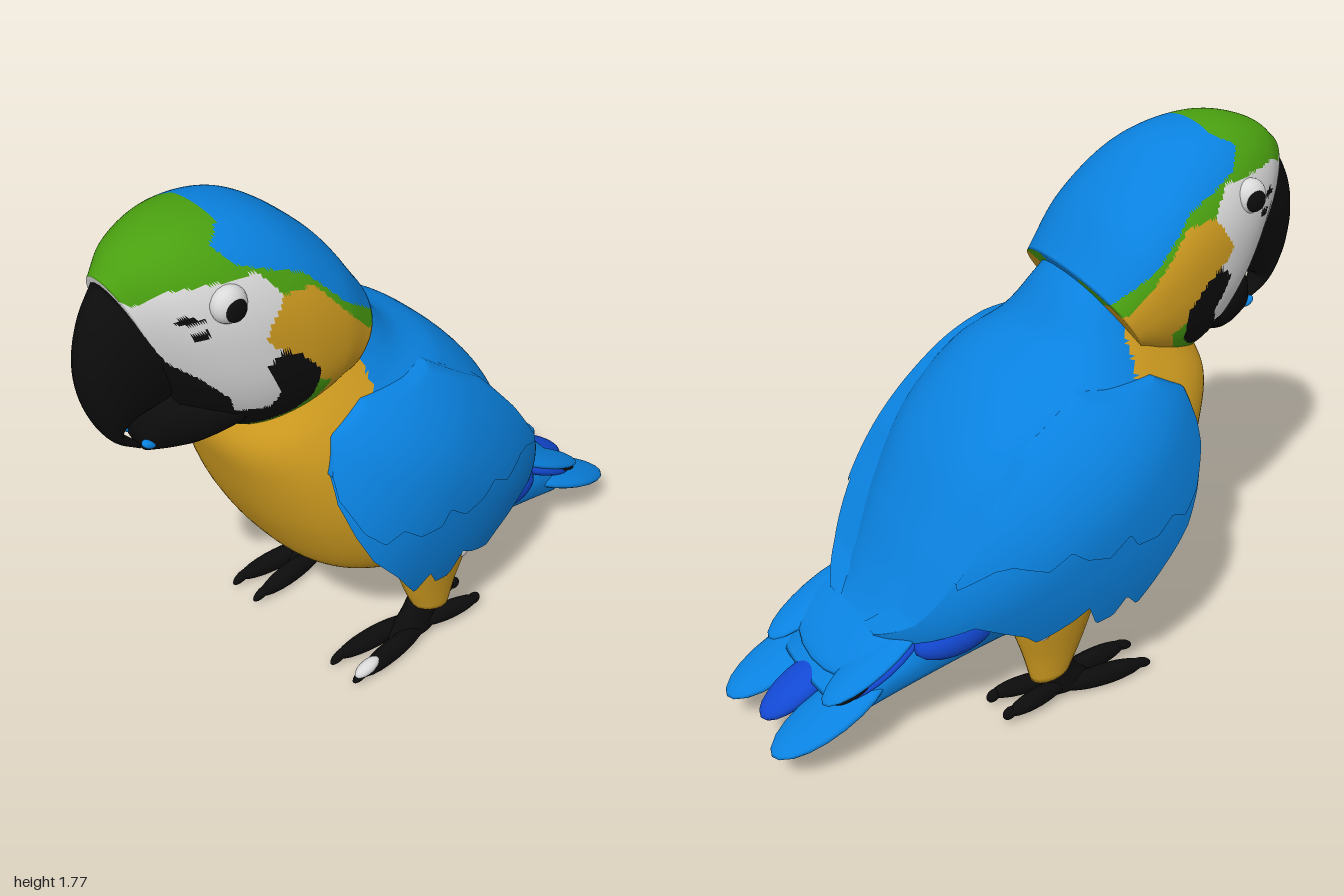
import * as THREE from 'three';

const material = (name, color, side = THREE.FrontSide) => {
  const m = new THREE.MeshStandardMaterial({ color, side });
  m.name = name;
  return m;
};

// True when (x, y) lies inside the polygon
function inside(poly, x, y) {
  let hit = false;
  for (let i = 0, j = poly.length - 1; i < poly.length; j = i++) {
    const [ax, ay] = poly[i], [bx, by] = poly[j];
    if ((ay > y) !== (by > y) && x < (bx - ax) * (y - ay) / (by - ay) + ax) hit = !hit;
  }
  return hit;
}

// Height of a polyline at x
function heightAt(line, x) {
  for (let i = 1; i < line.length; i++) {
    const [ax, ay] = line[i - 1], [bx, by] = line[i];
    if (x <= bx) return ay + (by - ay) * Math.max(0, (x - ax) / (bx - ax));
  }
  return line[line.length - 1][1];
}

// Closed loft of rounded rings. Section: [edge x, y, opposite edge x, y, half width].
// power below 1 makes the rings boxier. zones: [material index, side-view polygon], first match wins.
function loft(name, sections, mats, { zones = [], rows = 16, sides = 20, z = 0, power = 1 } = {}) {
  const a = new THREE.CatmullRomCurve3(sections.map(s => new THREE.Vector3(s[0], s[1], s[4])));
  const b = new THREE.CatmullRomCurve3(sections.map(s => new THREE.Vector3(s[2], s[3], s[4])));
  const bulge = v => Math.sign(v) * Math.abs(v) ** power;
  const pos = [];
  for (let i = -1; i <= rows + 1; i++) {
    const t = Math.min(Math.max(i / rows, 0), 1), end = i < 0 || i > rows ? 0 : 1;
    const p = a.getPoint(t), q = b.getPoint(t);
    for (let j = 0; j < sides; j++) {
      const angle = j / sides * Math.PI * 2;
      const c = bulge(Math.cos(angle)) * end, s = bulge(Math.sin(angle)) * end;
      pos.push((p.x + q.x + (p.x - q.x) * c) / 2, (p.y + q.y + (p.y - q.y) * c) / 2, z + p.z * s);
    }
  }
  const faces = [];
  let volume = 0;
  const v = k => new THREE.Vector3().fromArray(pos, k * 3);
  for (let i = 0; i < rows + 2; i++) for (let j = 0; j < sides; j++) {
    const k = i * sides + j, l = i * sides + (j + 1) % sides;
    for (const f of [[k, l, l + sides], [k, l + sides, k + sides]]) {
      const [p, q, r] = f.map(v);
      volume += p.dot(q.clone().cross(r));
      faces.push({ f, x: (p.x + q.x + r.x) / 3, y: (p.y + q.y + r.y) / 3 });
    }
  }
  const lists = mats.map(() => []);
  for (const { f, x, y } of faces) {
    const zone = zones.find(e => inside(e[1], x, y));
    lists[zone ? zone[0] : 0].push(...(volume < 0 ? [f[0], f[2], f[1]] : f));
  }
  const g = new THREE.BufferGeometry();
  g.setAttribute('position', new THREE.Float32BufferAttribute(pos, 3));
  g.setIndex(lists.flat());
  let start = 0;
  lists.forEach((l, i) => { g.addGroup(start, l.length, i); start += l.length; });
  g.computeVertexNormals();
  const mesh = new THREE.Mesh(g, mats.length > 1 ? mats : mats[0]);
  mesh.name = name;
  return mesh;
}

// Stretched sphere for eyes, feathers and toes
function blob(name, mat, p, s, tilt = 0, turn = 0) {
  const m = new THREE.Mesh(new THREE.SphereGeometry(1, 20, 12), mat);
  m.name = name;
  m.position.set(...p);
  m.scale.set(...s);
  m.rotation.set(0, turn, tilt);
  return m;
}

// Curved wing shell between two outlines; its last row folds in over the back
function wing(name, mat, top, bottom, side, lift) {
  const cols = 90, rows = 18, pos = [], index = [];
  const x0 = top[0][0], x1 = top[top.length - 1][0];
  for (let i = 0; i <= cols; i++) for (let j = 0; j <= rows; j++) {
    const x = x0 + (x1 - x0) * i / cols, fold = j === rows ? 0.5 : 1;
    const lo = heightAt(bottom, x), y = lo + (heightAt(top, x) - lo) * Math.min(1, j / (rows - 1));
    const dx = x + 0.05, dy = y - 0.78;
    const a = dx * 0.82 - dy * 0.57, b = dx * 0.57 + dy * 0.82;
    const r = 1 - (a / (a < 0 ? 0.55 : 0.82)) ** 2 - (b / (b < 0 ? 0.84 : 0.43)) ** 2;
    pos.push(x, y, side * fold * (lift + 0.48 * Math.sqrt(Math.max(r, 0.04))));
    if (i < cols && j < rows) {
      const k = i * (rows + 1) + j, n = k + rows + 1;
      index.push(...(side > 0 ? [k, n, n + 1, k, n + 1, k + 1] : [k, n + 1, n, k, k + 1, n + 1]));
    }
  }
  const g = new THREE.BufferGeometry();
  g.setAttribute('position', new THREE.Float32BufferAttribute(pos, 3));
  g.setIndex(index);
  g.computeVertexNormals();
  const m = new THREE.Mesh(g, mat);
  m.name = name;
  return m;
}

export function createModel() {
  const root = new THREE.Group();
  root.name = 'parrot';
  const blue = material('feather blue', 0x0a82e0, THREE.DoubleSide);
  const royal = material('deep blue', 0x1248d2);
  const green = material('crown green', 0x4aa010);
  const yellow = material('breast yellow', 0xd09c20);
  const white = material('face white', 0xdadada);
  const black = material('beak black', 0x0c0c0c);

  // Body with yellow breast, running into the tail root
  root.add(loft('body', [
    [-0.18, 1.44, -0.48, 1.25, 0.18], [-0.1, 1.35, -0.56, 1.1, 0.225], [0.0, 1.22, -0.59, 1.0, 0.3],
    [0.16, 1.13, -0.56, 0.87, 0.37], [0.33, 0.95, -0.48, 0.66, 0.42], [0.46, 0.72, -0.36, 0.47, 0.41],
    [0.55, 0.54, -0.2, 0.37, 0.35], [0.62, 0.43, 0.15, 0.275, 0.27], [0.72, 0.34, 0.45, 0.22, 0.24],
    [0.81, 0.25, 0.68, 0.165, 0.21]], [blue, yellow], {
    rows: 100, sides: 90, power: 0.8,
    zones: [[1, [[-0.8, 1.5], [-0.22, 1.5], [-0.21, 1.1], [-0.1, 0.8], [0.12, 0.5], [0.2, 0.28], [0.2, 0.1], [-0.8, 0.1]]]]
  }));

  // Head, painted by side-view zones
  root.add(loft('head', [
    [-0.905, 1.66, -0.72, 1.17, 0.125], [-0.82, 1.73, -0.62, 1.1, 0.205], [-0.66, 1.775, -0.53, 1.05, 0.265],
    [-0.45, 1.74, -0.43, 1.04, 0.295], [-0.26, 1.6, -0.35, 1.08, 0.295], [-0.12, 1.41, -0.31, 1.13, 0.27]],
  [black, blue, green, yellow, white], {
    rows: 120, sides: 130, power: 0.87,
    zones: [
      [0, [[-0.8, 1.56], [-0.77, 1.58], [-0.72, 1.56], [-0.76, 1.55]]],
      [0, [[-0.76, 1.52], [-0.72, 1.53], [-0.71, 1.51], [-0.75, 1.5]]],
      [1, [[-0.6, 1.9], [-0.59, 1.76], [-0.65, 1.73], [-0.61, 1.68], [-0.42, 1.6], [-0.3, 1.47], [-0.16, 1.36], [0, 1.33], [0, 1.9]]],
      [2, [[-1, 1.9], [-0.91, 1.64], [-0.87, 1.61], [-0.8, 1.65], [-0.56, 1.65], [-0.5, 1.57], [-0.4, 1.56], [-0.3, 1.44],
        [-0.2, 1.33], [0, 1.3], [0, 1.9]]],
      [2, [[-0.4, 1.26], [-0.35, 1.23], [-0.38, 1.17], [-0.43, 1.13], [-0.57, 1.07], [-0.58, 1.1], [-0.45, 1.15], [-0.41, 1.19]]],
      [3, [[-0.55, 1.5], [-0.5, 1.57], [-0.4, 1.57], [-0.1, 1.4], [-0.1, 0.9], [-0.57, 0.9], [-0.57, 1.07], [-0.43, 1.13],
        [-0.38, 1.17], [-0.4, 1.25], [-0.4, 1.3], [-0.47, 1.38], [-0.54, 1.42], [-0.57, 1.46]]],
      [4, [[-0.95, 1.66], [-0.5, 1.66], [-0.5, 1.54], [-0.57, 1.46], [-0.52, 1.41], [-0.57, 1.37],
        [-0.52, 1.26], [-0.54, 1.21], [-0.63, 1.21], [-0.65, 1.27], [-0.73, 1.36], [-0.8, 1.42], [-0.92, 1.63]]]]
  }));

  // Hooked upper beak and lower beak
  root.add(loft('upperBeak', [
    [-0.895, 1.645, -0.7, 1.24, 0.135], [-0.96, 1.55, -0.73, 1.22, 0.115], [-0.998, 1.42, -0.78, 1.21, 0.09],
    [-0.982, 1.28, -0.85, 1.2, 0.07], [-0.92, 1.15, -0.89, 1.175, 0.045], [-0.83, 1.075, -0.825, 1.09, 0.015]],
  [black], { rows: 28, sides: 28 }));
  root.add(loft('lowerBeak', [
    [-0.6, 1.28, -0.56, 1.1, 0.2], [-0.73, 1.27, -0.67, 1.055, 0.15], [-0.81, 1.24, -0.74, 1.05, 0.1],
    [-0.84, 1.15, -0.82, 1.07, 0.05]], [black], { rows: 16, sides: 24 }));

  const wingTop = [[-0.41, 0.95], [-0.38, 1.06], [-0.26, 1.13], [-0.1, 1.13], [0.0, 1.14], [0.2, 1.0],
    [0.33, 0.84], [0.45, 0.66], [0.55, 0.5], [0.63, 0.42]];
  const wingBottom = [[-0.41, 0.86], [-0.38, 0.75], [-0.33, 0.64], [-0.24, 0.53], [-0.2, 0.47], [-0.15, 0.4], [-0.1, 0.46],
    [-0.06, 0.39], [0, 0.38], [0.04, 0.47], [0.09, 0.43], [0.14, 0.4], [0.2, 0.37], [0.24, 0.41], [0.3, 0.44],
    [0.4, 0.49], [0.48, 0.45], [0.63, 0.38]];
  const covertBottom = [[-0.41, 0.88], [-0.36, 0.76], [-0.3, 0.7], [-0.24, 0.73], [-0.18, 0.68], [-0.1, 0.68], [-0.07, 0.73],
    [0, 0.67], [0.08, 0.69], [0.13, 0.73], [0.2, 0.68], [0.3, 0.71], [0.35, 0.7], [0.45, 0.64]];

  for (const s of [1, -1]) {
    const side = s > 0 ? 'left' : 'right';
    // Wing with a raised layer of short feathers
    root.add(wing(side + 'Wing', blue, wingTop, wingBottom, s, 0));
    root.add(wing(side + 'WingCoverts', blue, wingTop.slice(0, 8), covertBottom, s, 0.012));
    root.add(blob(side + 'FlightFeathers', royal, [0.4, 0.41, s * 0.25], [0.15, 0.075, 0.07], -0.12));
    // Eye
    root.add(blob(side + 'EyeRing', white, [-0.655, 1.59, s * 0.225], [0.055, 0.055, 0.043]));
    root.add(blob(side + 'Eye', black, [-0.655, 1.585, s * 0.26], [0.034, 0.034, 0.014]));
    // Blue fleck at the beak opening
    root.add(blob(side + 'BeakFleck', blue, [-0.825, 1.115, s * 0.052], [0.025, 0.014, 0.016], -0.5));
    // Tail and wing-tip feathers
    root.add(blob(side + 'TailFeather', blue, [0.8, 0.21, s * 0.165], [0.22, 0.03, 0.1], -0.4));
    root.add(blob(side + 'WingTip', blue, [0.66, 0.365, s * 0.19], [0.2, 0.022, 0.075], -0.5));
    root.add(blob(side + 'WingTipUnder', royal, [0.64, 0.352, s * 0.205], [0.16, 0.026, 0.062], -0.5));
    root.add(blob(side + 'WingTipDark', black, [0.72, 0.318, s * 0.205], [0.1, 0.014, 0.05], -0.5));
    // Leg and foot
    root.add(loft(side + 'Thigh', [[-0.12, 0.5, 0.24, 0.5, 0.12], [-0.08, 0.36, 0.215, 0.36, 0.095],
      [-0.035, 0.22, 0.17, 0.22, 0.065], [0.0, 0.14, 0.14, 0.11, 0.05]], [yellow], { z: s * 0.27 }));
    root.add(blob(side + 'ThighPatch', white, [0.145, 0.36, s * 0.332], [0.033, 0.042, 0.025], 0, s * 0.5));
    root.add(loft(side + 'Ankle', [[0.0, 0.16, 0.13, 0.12, 0.045], [-0.04, 0.1, 0.1, 0.08, 0.045],
      [-0.1, 0.04, 0.1, 0.03, 0.05]], [black], { z: s * 0.255 }));
    for (const k of [1, -1]) {
      root.add(blob(side + 'FrontToe', black, [-0.12, 0.04, s * 0.255 + k * 0.042], [0.155, 0.037, 0.033], 0.03, k * 0.1));
      root.add(blob(side + 'FrontClaw', black, [-0.265, 0.036, s * 0.255 + k * 0.055], [0.04, 0.018, 0.015], 0.4));
      root.add(blob(side + 'BackToe', black, [0.13, 0.055, s * 0.255 + k * 0.038], [0.125, 0.032, 0.03], -0.03, -k * 0.15));
      root.add(blob(side + 'BackClaw', black, [0.245, 0.048, s * 0.255 + k * 0.05], [0.025, 0.022, 0.015], -0.6));
    }
  }
  // Pale patch on one toe
  root.add(blob('paleToeTip', white, [-0.245, 0.055, 0.313], [0.05, 0.022, 0.024], 0.25));

  // Tail coverts and central tail feather
  root.add(blob('tailCoverts', blue, [0.64, 0.375, 0], [0.16, 0.035, 0.25], -0.55));
  root.add(blob('centreTailFeather', royal, [0.825, 0.212, 0], [0.155, 0.04, 0.075], -0.5));
  return root;
}
